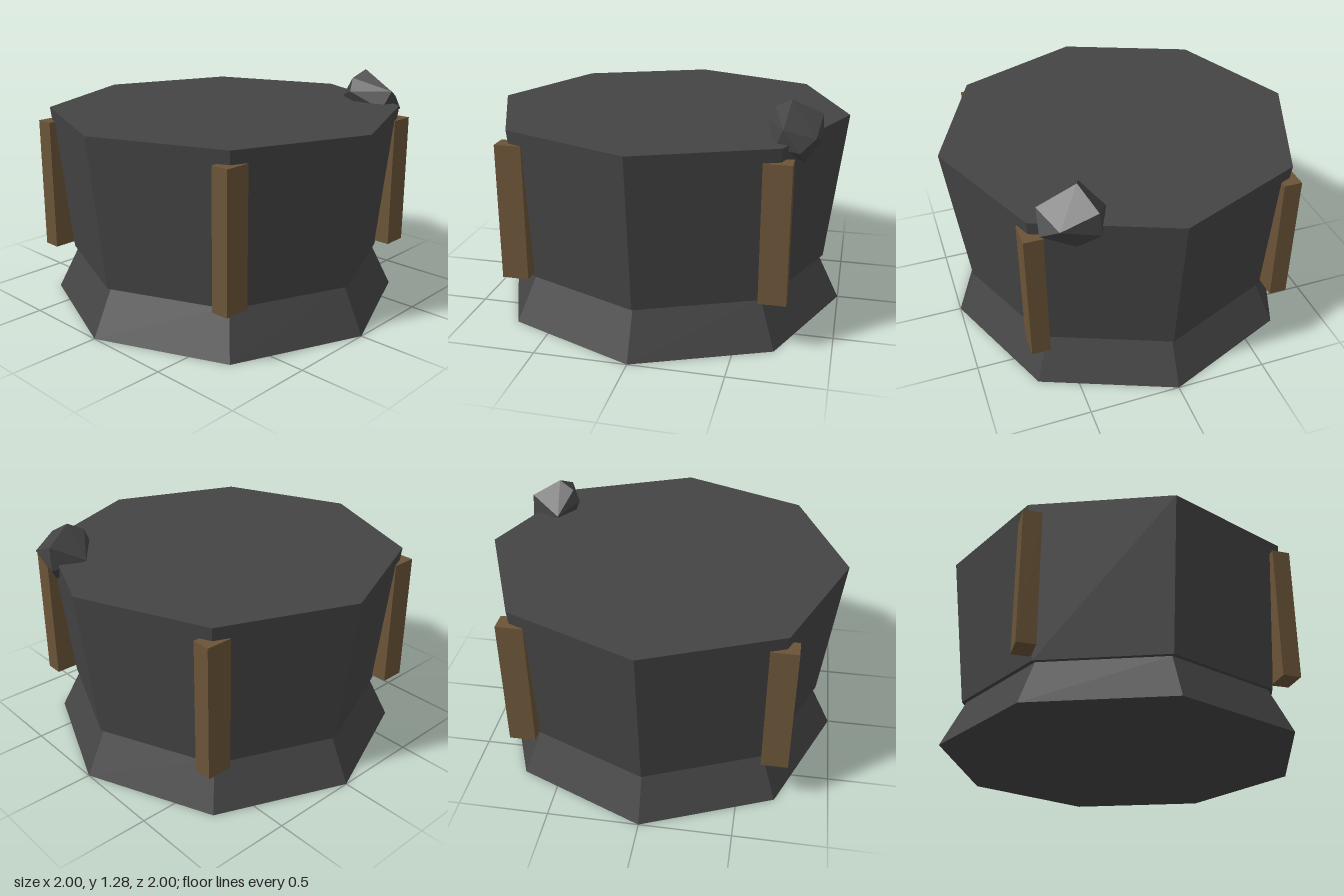
import * as THREE from 'three';
import { ConvexGeometry } from 'three/addons/geometries/ConvexGeometry.js';

function material(name, color) {
  const m = new THREE.MeshStandardMaterial({ color, flatShading: true });
  m.name = name;
  return m;
}

export function createModel() {
  const group = new THREE.Group();
  const stone = material('dark stone', 0x444444);
  const wood = material('brown wood', 0x6b5438);

  function add(name, geometry, mat, x = 0, y = 0, z = 0) {
    const mesh = new THREE.Mesh(geometry, mat);
    mesh.name = name;
    mesh.position.set(x, y, z);
    group.add(mesh);
  }

  // Octagonal flared foot and the drum that widens upwards
  add('foot', new THREE.CylinderGeometry(0.875, 1, 0.255, 8), stone, 0, 0.1275, 0);
  add('drum', new THREE.CylinderGeometry(1, 0.9, 0.845, 8), stone, 0, 0.6775, 0);

  // Four upright wooden posts on the diagonals
  const post = new THREE.BoxGeometry(0.145, 0.745, 0.1);
  for (const x of [-0.69, 0.69]) {
    for (const z of [-0.69, 0.69]) add('post', post, wood, x, 0.655, z);
  }

  // Small faceted rock on the rim
  const corners = [
    [0.722, 1.28, 0.455], [0.877, 1.2, 0.396], [0.882, 1.07, 0.385],
    [0.8, 0.968, 0.487], [0.636, 1.235, 0.425], [0.604, 1.16, 0.433],
    [0.658, 1.07, 0.62], [0.7, 1.175, 0.655], [0.786, 1.065, 0.665],
    [0.856, 1.12, 0.583], [0.711, 1.11, 0.31], [0.67, 1.0, 0.45],
  ];
  add('rock', new ConvexGeometry(corners.map((p) => new THREE.Vector3(...p))), stone);

  return group;
}
